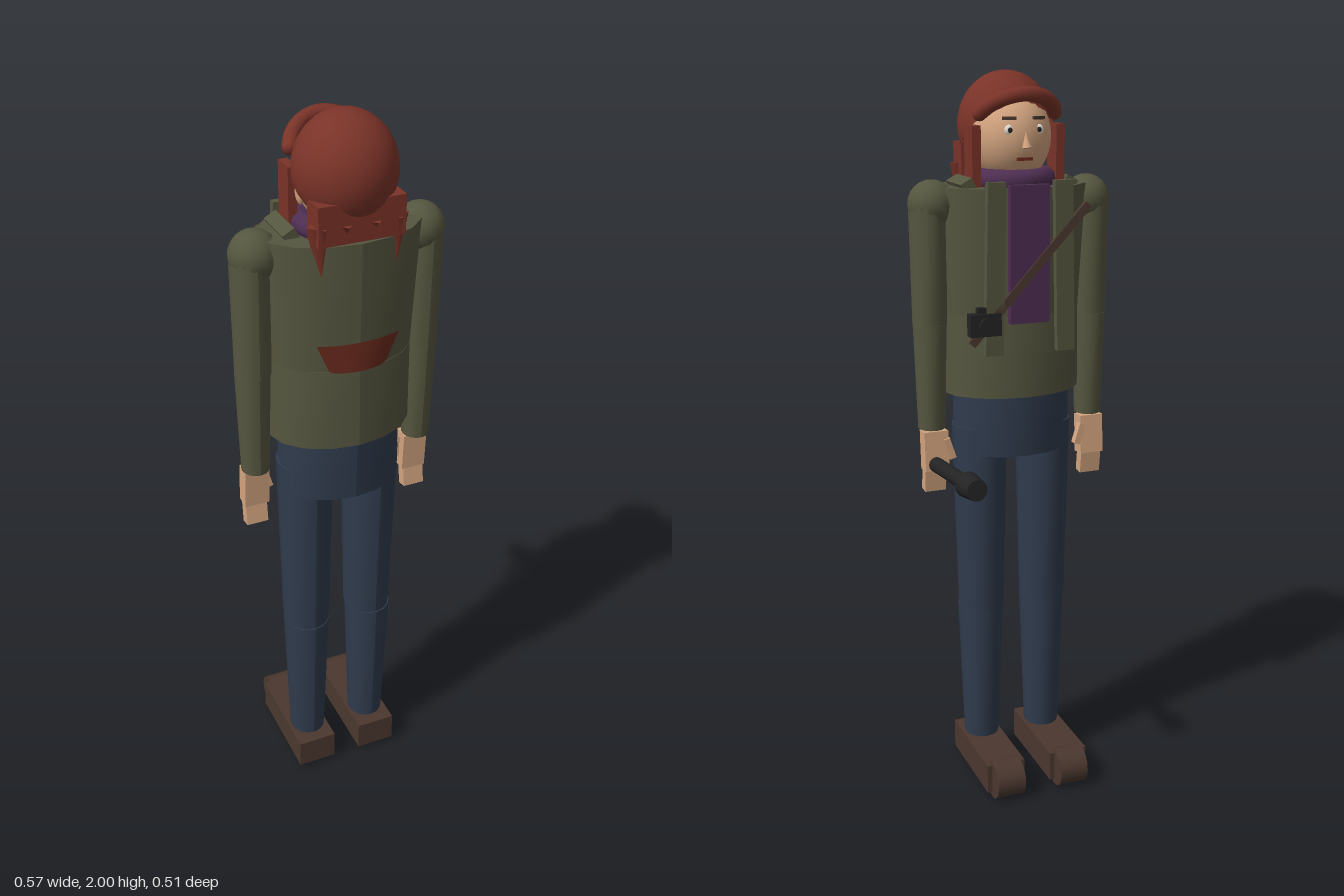
import * as THREE from 'three';

const mat = (name, color, side = THREE.FrontSide) => {
  const m = new THREE.MeshStandardMaterial({ color, side });
  m.name = name;
  return m;
};

export function createModel() {
  const model = new THREE.Group();
  model.name = 'figure';
  const hair = mat('auburn hair', 0x7a3328, THREE.DoubleSide);
  const jacket = mat('olive jacket', 0x55563f);
  const denim = mat('blue denim', 0x303b4d);
  const leather = mat('brown leather', 0x4b382f);
  const skin = mat('skin', 0xd4a580);
  const purple = mat('purple shirt', 0x4e2e52);
  const black = mat('black plastic', 0x232323);
  const white = mat('eye white', 0xe6e0d6);
  const rust = mat('rust patch', 0x6b2a1d, THREE.DoubleSide);

  const add = (name, geo, m, x, y, z, parent = model) => {
    const mesh = new THREE.Mesh(geo, m);
    mesh.name = name;
    mesh.position.set(x, y, z);
    parent.add(mesh);
    return mesh;
  };
  const box = (name, w, h, d, m, x, y, z, parent) =>
    add(name, new THREE.BoxGeometry(w, h, d), m, x, y, z, parent);
  // Oval section tapering from y1 (top) to y0 (bottom); radii given as [x, z]
  const oval = (name, top, bottom, y0, y1, m, x, z, sides = 16) => {
    const g = new THREE.CylinderGeometry(1, 1, y1 - y0, sides);
    const p = g.attributes.position;
    for (let i = 0; i < p.count; i++) {
      const r = p.getY(i) > 0 ? top : bottom;
      p.setX(i, p.getX(i) * r[0]);
      p.setZ(i, p.getZ(i) * r[1]);
    }
    g.computeVertexNormals();
    return add(name, g, m, x, (y0 + y1) / 2, z);
  };

  // Torso, facing -z
  oval('upperJacket', [0.213, 0.137], [0.192, 0.132], 1.375, 1.71, jacket, 0, 0.096);
  oval('lowerJacket', [0.192, 0.134], [0.193, 0.138], 1.155, 1.375, jacket, 0, 0.096);
  oval('hips', [0.165, 0.125], [0.168, 0.122], 0.985, 1.16, denim, 0, 0.097);
  box('shirtFront', 0.11, 0.36, 0.02, purple, 0, 1.54, -0.041);
  const collar = add('shirtCollar', new THREE.TorusGeometry(0.095, 0.03, 10, 24), purple, 0, 1.725, 0.1);
  collar.rotation.x = Math.PI / 2;

  // Curved patch across the back, narrowing downwards
  const patch = new THREE.CylinderGeometry(1, 1, 0.08, 10, 1, true, -0.55, 1.1);
  const pp = patch.attributes.position;
  for (let i = 0; i < pp.count; i++) {
    pp.setX(i, pp.getX(i) * (pp.getY(i) > 0 ? 0.211 : 0.145));
    pp.setZ(i, pp.getZ(i) * 0.14);
  }
  patch.computeVertexNormals();
  add('backPatch', patch, rust, 0, 1.413, 0.097);

  // Camera on a diagonal strap
  const strap = box('cameraStrap', 0.48, 0.022, 0.012, leather, 0, 1.49, -0.05);
  strap.rotation.z = -0.82;
  box('cameraBody', 0.085, 0.06, 0.03, black, 0.127, 1.365, -0.047);
  box('cameraTop', 0.04, 0.02, 0.02, black, 0.127, 1.4, -0.045);
  const lens = add('cameraLens', new THREE.CylinderGeometry(0.02, 0.02, 0.012, 16), black, 0.127, 1.365, -0.064);
  lens.rotation.x = Math.PI / 2;

  // Paired limbs, shoes and lapels
  for (const s of [-1, 1]) {
    const lapel = box('lapel', 0.05, 0.45, 0.02, jacket, s * 0.097, 1.505, -0.046);
    lapel.rotation.z = s * 0.02;
    box('jacketCollar', 0.035, 0.04, 0.12, jacket, s * 0.14, 1.71, 0.08).rotation.z = -s * 0.5;

    add('shoulder', new THREE.SphereGeometry(0.064, 16, 12), jacket, s * 0.22, 1.665, 0.094);
    oval('upperArm', [0.05, 0.059], [0.046, 0.052], 1.348, 1.67, jacket, s * 0.232, 0.094);
    oval('forearm', [0.045, 0.052], [0.037, 0.04], 1.06, 1.35, jacket, s * 0.233, 0.092);
    box('palm', 0.068, 0.11, 0.044, skin, s * 0.231, 1.0, 0.076).rotation.x = 0.06;
    box('fingers', 0.06, 0.07, 0.03, skin, s * 0.233, 0.92, 0.079).rotation.x = -0.12;
    box('thumb', 0.018, 0.06, 0.022, skin, s * 0.194, 1.005, 0.062).rotation.z = -s * 0.3;

    oval('thigh', [0.076, 0.085], [0.064, 0.069], 0.52, 1.06, denim, s * 0.094, 0.094);
    oval('shin', [0.064, 0.069], [0.05, 0.053], 0.105, 0.52, denim, s * 0.095, 0.098);
    box('shoe', 0.112, 0.085, 0.29, leather, s * 0.096, 0.058, 0.035);
    const toe = add('shoeToe', new THREE.CylinderGeometry(0.054, 0.054, 0.083, 16), leather, s * 0.096, 0.054, -0.108);
    toe.rotation.z = Math.PI / 2;
  }

  // Flashlight held in the +x hand
  const torch = new THREE.Group();
  torch.name = 'flashlight';
  torch.position.set(0.235, 0.964, 0.06);
  torch.rotation.set(-Math.PI / 2 + 0.07, 0, 0.03);
  model.add(torch);
  add('torchHandle', new THREE.CylinderGeometry(0.021, 0.021, 0.26, 16), black, 0, 0.13, 0, torch);
  add('torchHead', new THREE.CylinderGeometry(0.028, 0.035, 0.07, 16), black, 0, 0.282, 0, torch);

  // Head and face
  add('neck', new THREE.CylinderGeometry(0.055, 0.06, 0.12, 16), skin, 0, 1.73, 0.1);
  add('head', new THREE.SphereGeometry(1, 24, 18), skin, 0, 1.835, 0.096).scale.set(0.108, 0.125, 0.118);
  const nose = add('nose', new THREE.ConeGeometry(0.014, 0.045, 8), skin, 0, 1.832, -0.024);
  nose.rotation.x = 0.2;
  box('mouth', 0.042, 0.008, 0.008, rust, 0, 1.782, -0.012);
  for (const s of [-1, 1]) {
    add('eye', new THREE.SphereGeometry(0.014, 12, 8), white, s * 0.04, 1.855, -0.006).scale.z = 0.5;
    add('pupil', new THREE.SphereGeometry(0.007, 10, 8), black, s * 0.04, 1.855, -0.011).scale.z = 0.6;
    box('eyebrow', 0.036, 0.008, 0.009, leather, s * 0.04, 1.884, -0.006).rotation.y = -s * 0.3;
    add('ear', new THREE.SphereGeometry(0.025, 10, 8), skin, s * 0.107, 1.81, 0.112).scale.set(0.45, 1.2, 0.8);
  }

  // Hair: tilted cap, back block with pointed locks, side locks
  const crown = new THREE.Group();
  crown.name = 'hairCap';
  crown.position.set(0, 1.86, 0.128);
  crown.scale.y = 1.1;
  model.add(crown);
  add('hairShell', new THREE.SphereGeometry(0.128, 28, 18, 0, Math.PI * 2, 0, Math.PI * 0.58), hair, 0, 0, 0, crown)
    .rotation.x = 0.66;
  box('backHair', 0.224, 0.1, 0.065, hair, 0, 1.765, 0.198);
  for (const [x, len, w] of [[-0.097, 0.17, 0.034], [0.097, 0.17, 0.034], [-0.04, 0.05, 0.04], [0.035, 0.04, 0.04]]) {
    const lock = add('hairLock', new THREE.ConeGeometry(w, len, 4), hair, x, 1.76 - len / 2, 0.205);
    lock.rotation.x = Math.PI;
  }
  for (const s of [-1, 1]) box('sideLock', 0.024, 0.155, 0.062, hair, s * 0.117, 1.788, 0.06);

  // Brim: curved roll above the forehead, rising to the front
  const brimPath = new THREE.CatmullRomCurve3([-1, -0.75, -0.4, 0, 0.4, 0.75, 1].map((t) => {
    const a = t * 1.12;
    return new THREE.Vector3(Math.sin(a) * 0.115, 1.895 + 0.05 * (Math.cos(a) - 0.43) / 0.57, 0.09 - Math.cos(a) * 0.112);
  }));
  add('brim', new THREE.TubeGeometry(brimPath, 28, 0.02, 10), hair, 0, 0, 0);
  for (const t of [0, 1]) {
    const e = brimPath.getPoint(t);
    add('brimEnd', new THREE.SphereGeometry(0.02, 10, 8), hair, e.x, e.y, e.z);
  }
  return model;
}
